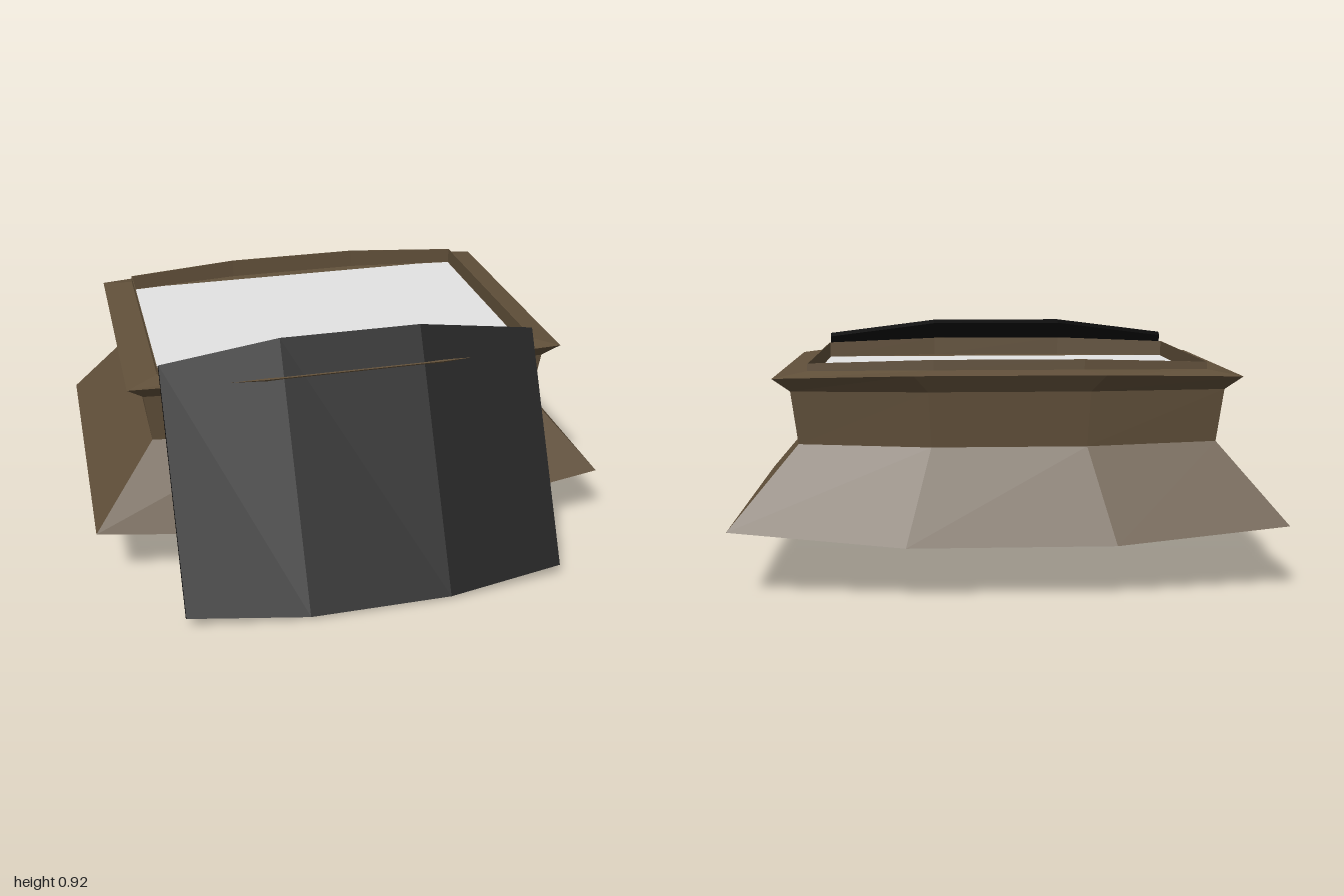
import * as THREE from 'three';

// Eight-point ring: straight left and right sides, far and near edges bowed in three segments.
// near/far corner and middle points are [y, z]; order is counter-clockwise seen from outside.
function ring(cx, mx, nearCorner, farCorner, nearMid, farMid) {
  const p = (x, [y, z]) => new THREE.Vector3(x, y, z);
  return [
    p(cx, nearCorner), p(cx, farCorner), p(mx, farMid), p(-mx, farMid),
    p(-cx, farCorner), p(-cx, nearCorner), p(-mx, nearMid), p(mx, nearMid),
  ];
}

// Ring symmetric about the cabinet's own centre line.
const CABINET_Z = -0.15;
function level(cx, cz, cy, mx, mz, my) {
  return ring(cx, mx, [cy, CABINET_Z + cz], [cy, CABINET_Z - cz], [my, CABINET_Z + mz], [my, CABINET_Z - mz]);
}

const CAP = [[0, 1, 2, 7], [7, 2, 3, 6], [6, 3, 4, 5]];

// Skin successive rings with flat quads, optionally closing the ends.
function loft(name, material, rings, capStart, capEnd) {
  const pos = [];
  const quad = (a, b, c, d) => [a, b, c, a, c, d].forEach((v) => pos.push(v.x, v.y, v.z));
  for (let r = 0; r + 1 < rings.length; r++) {
    const a = rings[r], b = rings[r + 1];
    for (let i = 0; i < 8; i++) {
      const j = (i + 1) % 8;
      quad(a[i], a[j], b[j], b[i]);
    }
  }
  if (capStart) CAP.forEach((q) => quad(...[...q].reverse().map((i) => rings[0][i])));
  if (capEnd) CAP.forEach((q) => quad(...q.map((i) => rings[rings.length - 1][i])));
  const geometry = new THREE.BufferGeometry();
  geometry.setAttribute('position', new THREE.Float32BufferAttribute(pos, 3));
  geometry.computeVertexNormals();
  const mesh = new THREE.Mesh(geometry, material);
  mesh.name = name;
  return mesh;
}

export function createModel() {
  const brown = new THREE.MeshStandardMaterial({ color: 0x61503a });
  brown.name = 'brown casing';
  const black = new THREE.MeshStandardMaterial({ color: 0x070707 });
  black.name = 'black panel';
  const grey = new THREE.MeshStandardMaterial({ color: 0xe4e4e4 });
  grey.name = 'light grey top';

  const group = new THREE.Group();
  group.name = 'console';

  // Flared skirt, neck, overhanging rim and raised lip
  const base = level(1, 0.64, 0.246, 0.37, 0.712, 0.199);
  const waist = level(0.757, 0.485, 0.533, 0.28, 0.535, 0.525);
  const neck = level(0.78, 0.505, 0.726, 0.29, 0.555, 0.726);
  const rim = level(0.84, 0.54, 0.775, 0.34, 0.598, 0.788);
  const lipFoot = level(0.722, 0.47, 0.795, 0.27, 0.516, 0.8);
  const lipTop = level(0.722, 0.47, 0.822, 0.27, 0.516, 0.837);
  const lipInner = level(0.719, 0.467, 0.822, 0.27, 0.513, 0.837);
  // Sunken floor behind the lip
  const recess = level(0.719, 0.467, 0.761, 0.27, 0.513, 0.764);
  const inset = level(0.717, 0.465, 0.761, 0.58, 0.478, 0.761);

  group.add(loft('skirt', brown, [base, waist], true, false));
  group.add(loft('neck', brown, [waist, neck], false, false));
  group.add(loft('rim', brown, [neck, rim, lipFoot], false, false));
  group.add(loft('lip', brown, [lipFoot, lipTop, lipInner, recess, inset], false, false));

  // Flat recessed surface inside the lip
  group.add(loft('topSurface', grey, [inset], false, true));

  // Leaning front panel
  const panelBack = ring(0.72, 0.27, [0.04, 0.797], [0.845, 0.355], [0, 0.84], [0.902, 0.346]);
  const panelFront = panelBack.map((v) => v.clone().add(new THREE.Vector3(0, 0.014, 0.025)));
  group.add(loft('frontPanel', black, [panelBack, panelFront], true, true));

  return group;
}
